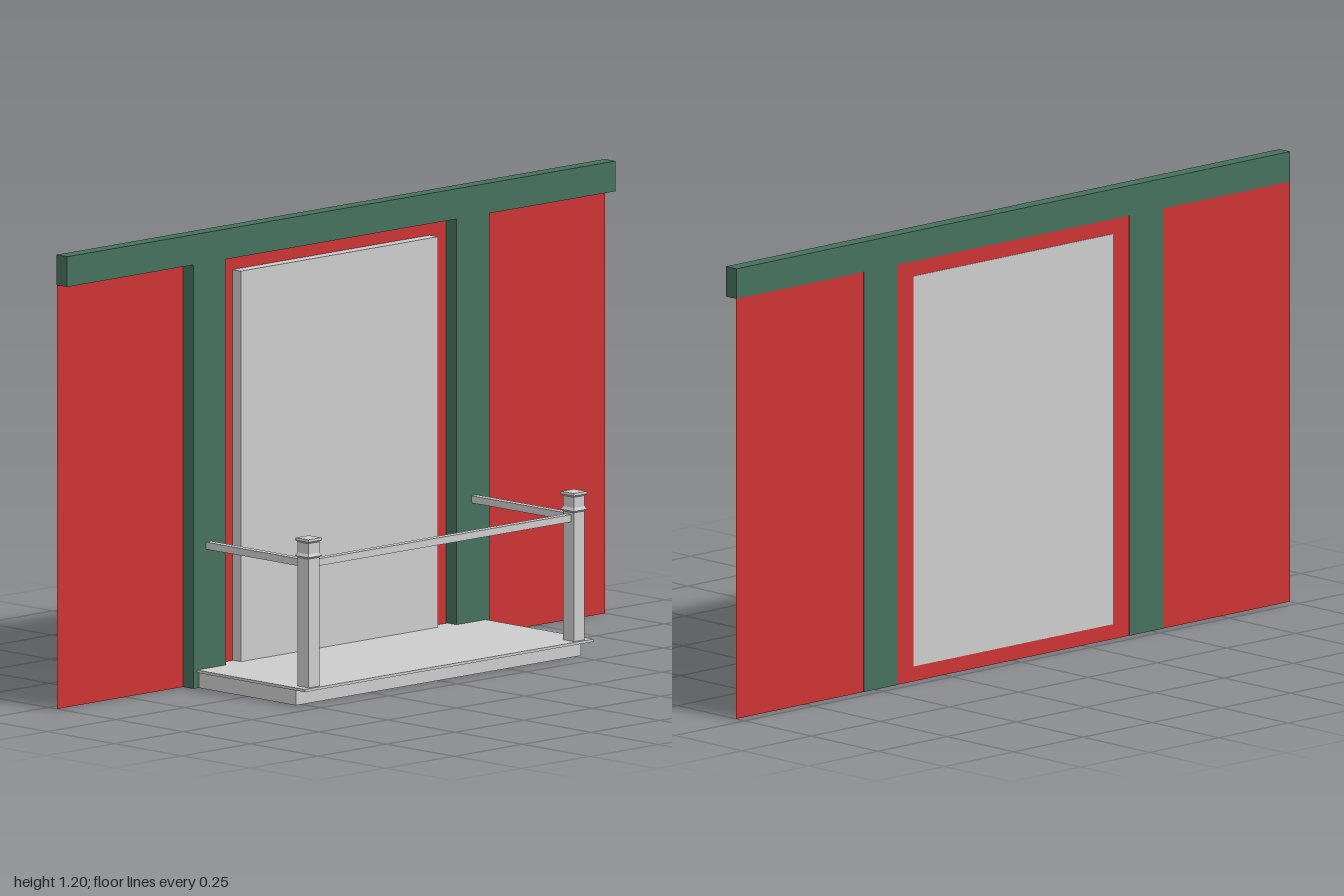
import * as THREE from 'three';

const grey = new THREE.MeshStandardMaterial({ color: 0xcccccc, flatShading: true });
const green = new THREE.MeshStandardMaterial({ color: 0x46705c, flatShading: true });
const red = new THREE.MeshStandardMaterial({ color: 0xcc3333, side: THREE.DoubleSide });

// Box given by its min and max corners
function box(name, [x0, y0, z0], [x1, y1, z1], material) {
  const mesh = new THREE.Mesh(new THREE.BoxGeometry(x1 - x0, y1 - y0, z1 - z0), material);
  mesh.position.set((x0 + x1) / 2, (y0 + y1) / 2, (z0 + z1) / 2);
  mesh.name = name;
  return mesh;
}

// Square tapered block, sized by its bottom and top widths
function taper(name, bottom, top, y0, y1) {
  const geometry = new THREE.CylinderGeometry(top / Math.SQRT2, bottom / Math.SQRT2, y1 - y0, 4);
  geometry.rotateY(Math.PI / 4);
  const mesh = new THREE.Mesh(geometry, grey);
  mesh.position.y = (y0 + y1) / 2;
  mesh.name = name;
  return mesh;
}

// Railing post with collar and cap
function railingPost(x, z) {
  const post = new THREE.Group();
  post.name = 'railingPost';
  post.add(
    taper('postShaft', 0.04, 0.04, 0.047, 0.432),
    taper('postCollarLower', 0.04, 0.05, 0.388, 0.393),
    taper('postCollarUpper', 0.05, 0.04, 0.393, 0.401),
    taper('postCapLower', 0.04, 0.05, 0.429, 0.434),
    taper('postCapUpper', 0.05, 0.047, 0.434, 0.44),
  );
  post.position.set(x, 0, z);
  return post;
}

export function createModel() {
  const model = new THREE.Group();
  model.name = 'porchFacade';
  const back = -0.22, face = -0.18;

  // Thin wall sheet, just inside the back of the trim
  const wall = new THREE.Mesh(new THREE.PlaneGeometry(2, 1.2), red);
  wall.position.set(0, 0.6, back + 0.0015);
  wall.name = 'wall';
  model.add(wall);

  // Trim and door
  model.add(box('topBeam', [-1, 1.12, back], [1, 1.2, face], green));
  model.add(box('door', [-0.36, 0.04, back], [0.36, 1.08, -0.187], grey));

  // Porch floor with overhanging slab
  model.add(box('porchBase', [-0.52, 0, -0.215], [0.52, 0.041, 0.18], grey));
  model.add(box('porchSlab', [-0.527, 0.041, -0.215], [0.527, 0.048, 0.22], grey));

  // Pilasters, posts and side rails on both sides
  for (const side of [-1, 1]) {
    const x = side * 0.48;
    model.add(box('pilaster', [x - 0.06, 0, back], [x + 0.06, 1.12, face], green));
    model.add(railingPost(side * 0.484, 0.19));
    model.add(box('sideRail', [side * 0.484 - 0.01, 0.363, face], [side * 0.484 + 0.01, 0.382, 0.175], grey));
  }
  model.add(box('frontRail', [-0.47, 0.363, 0.18], [0.47, 0.382, 0.2], grey));

  return model;
}
